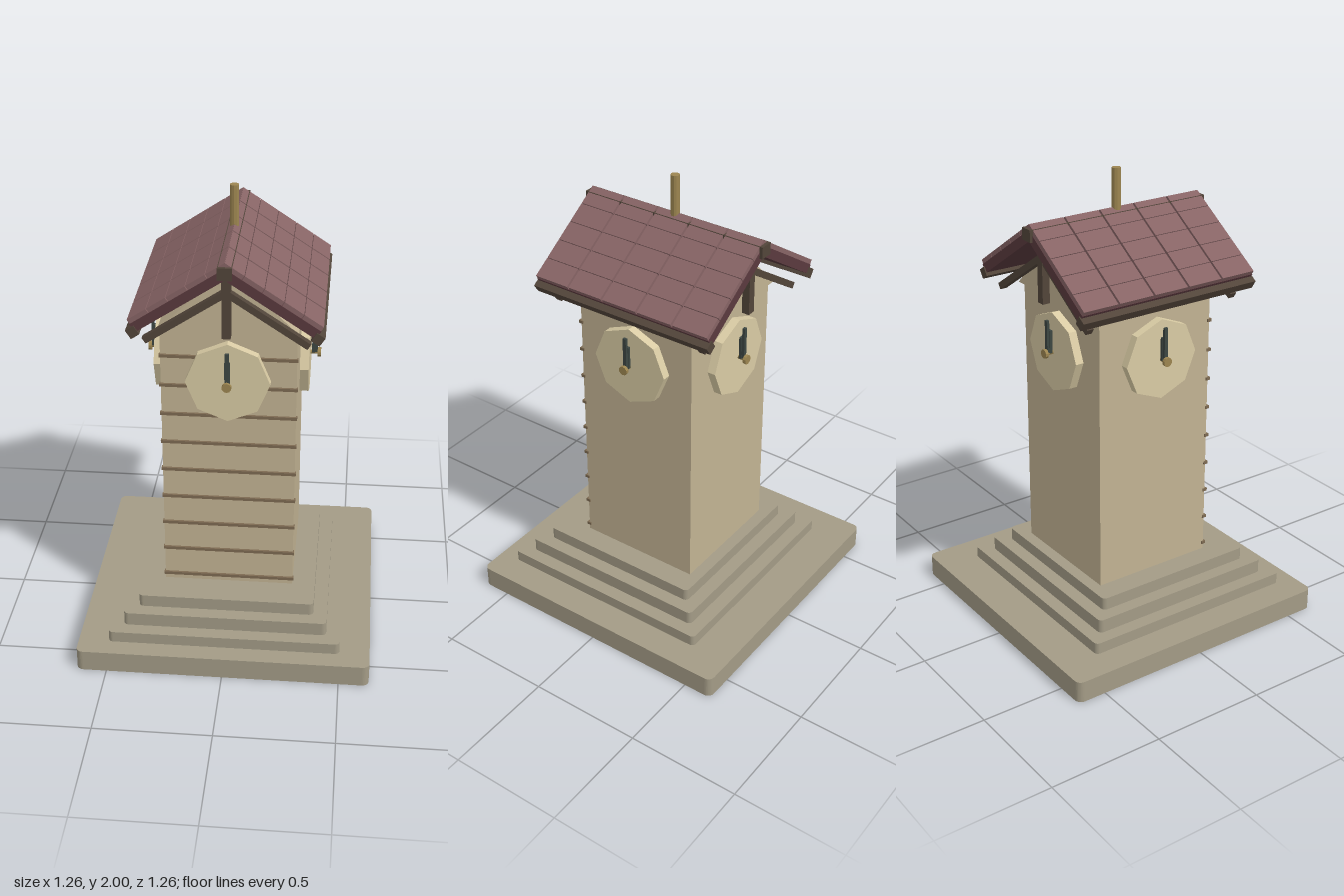
import * as THREE from 'three';

const mat = (color) => new THREE.MeshStandardMaterial({ color, flatShading: true });

export function createModel() {
  const stone = mat(0xa39b86), wall = mat(0xc2b393), trim = mat(0x7d6a52), wood = mat(0x52453a);
  const tile = mat(0x876465), under = mat(0x5a3a3e), gold = mat(0x9c8550);
  const dial = mat(0xd9cba4), iron = mat(0x3c4642);
  const model = new THREE.Group();

  const add = (parent, name, geometry, material, x = 0, y = 0, z = 0) => {
    const mesh = new THREE.Mesh(geometry, material);
    mesh.name = name;
    mesh.position.set(x, y, z);
    parent.add(mesh);
    return mesh;
  };
  const box = (w, h, d) => new THREE.BoxGeometry(w, h, d);

  // Square slab with corners rounded in plan, standing on y = 0
  const slab = (half, height, r) => {
    const s = new THREE.Shape(), c = half - r;
    [0, 1, 2, 3].forEach((i) => {
      const a = i * Math.PI / 2;
      s.absarc(c * (i === 0 || i === 3 ? 1 : -1), c * (i < 2 ? 1 : -1), r, a, a + Math.PI / 2);
    });
    return new THREE.ExtrudeGeometry(s, { depth: height, bevelEnabled: false, curveSegments: 4 }).rotateX(-Math.PI / 2);
  };

  // Plinth and steps
  add(model, 'plinth', slab(0.63, 0.095, 0.03), stone);
  [[0.5, 0.095, 0.05], [0.44, 0.145, 0.06], [0.38, 0.205, 0.055]].forEach(([half, y, h], i) =>
    add(model, `step${i + 1}`, slab(half, h, 0.02), stone, 0, y, 0.047));

  // Tower with horizontal battens on the front
  add(model, 'tower', box(0.56, 1.23, 0.56), wall, 0, 0.875, 0);
  for (let i = 0; i < 9; i++) add(model, 'batten', box(0.57, 0.013, 0.02), trim, 0, 0.29 + i * 0.1338, 0.28);

  // Gable prism under the roof
  const tri = new THREE.Shape([[-0.285, 0], [0.285, 0], [0, 0.275]].map((p) => new THREE.Vector2(...p)));
  add(model, 'gable', new THREE.ExtrudeGeometry(tri, { depth: 0.61, bevelEnabled: false }), wall, 0, 1.487, -0.305);

  // A clock on each of the four walls
  for (let i = 0; i < 4; i++) {
    const clock = new THREE.Group();
    clock.name = 'clock';
    clock.position.y = 1.265;
    clock.rotation.y = i * Math.PI / 2;
    model.add(clock);
    add(clock, 'clockFace', new THREE.CylinderGeometry(0.175, 0.175, 0.037, 8).rotateX(Math.PI / 2), dial, 0, 0, 0.305);
    add(clock, 'minuteHand', box(0.016, 0.145, 0.012), iron, 0, 0.0725, 0.348);
    add(clock, 'hourHand', box(0.022, 0.1, 0.012), iron, 0, 0.05, 0.336);
    add(clock, 'hub', new THREE.CylinderGeometry(0.02, 0.02, 0.014, 10).rotateX(Math.PI / 2), gold, 0, 0, 0.361);
    add(clock, 'spindle', new THREE.CylinderGeometry(0.009, 0.009, 0.05, 8).rotateX(Math.PI / 2), gold, 0, 0, 0.338);
  }

  // Roof slopes: deck, tiles with narrow gaps, and eave board
  const pitch = Math.atan(0.66);
  for (const turn of [0, Math.PI]) {
    const side = new THREE.Group(), slope = new THREE.Group();
    side.name = 'roofSide';
    side.rotation.y = turn;
    slope.name = 'roofSlope';
    slope.position.y = 1.835;
    slope.rotation.z = -pitch;
    side.add(slope);
    model.add(side);
    add(slope, 'deck', box(0.465, 0.04, 0.85), under, 0.2325, -0.04, 0);
    for (let r = 0; r < 5; r++) {
      for (let c = 0; c < 5; c++) {
        add(slope, 'tile', box(0.09, 0.024, 0.162), tile, 0.046 + r * 0.093, -0.012, (c - 2) * 0.171);
      }
    }
    add(slope, 'eaveBoard', box(0.04, 0.042, 0.86), wood, 0.474, -0.054, 0);
  }
  add(model, 'ridgeBeam', box(0.058, 0.052, 0.875), wood, 0, 1.792, 0);

  // Timber truss at each end
  for (const z of [-0.36, 0.36]) {
    add(model, 'kingPost', box(0.036, 0.25, 0.034), wood, 0, 1.615, z);
    for (const s of [-1, 1]) {
      const rafter = add(model, 'rafter', box(0.4, 0.028, 0.03), wood, s * 0.163, 1.578, z);
      rafter.rotation.z = -s * pitch;
    }
  }

  // Spire
  add(model, 'spire', new THREE.CylinderGeometry(0.019, 0.019, 0.22, 10), gold, 0, 1.89, 0);

  return model;
}
